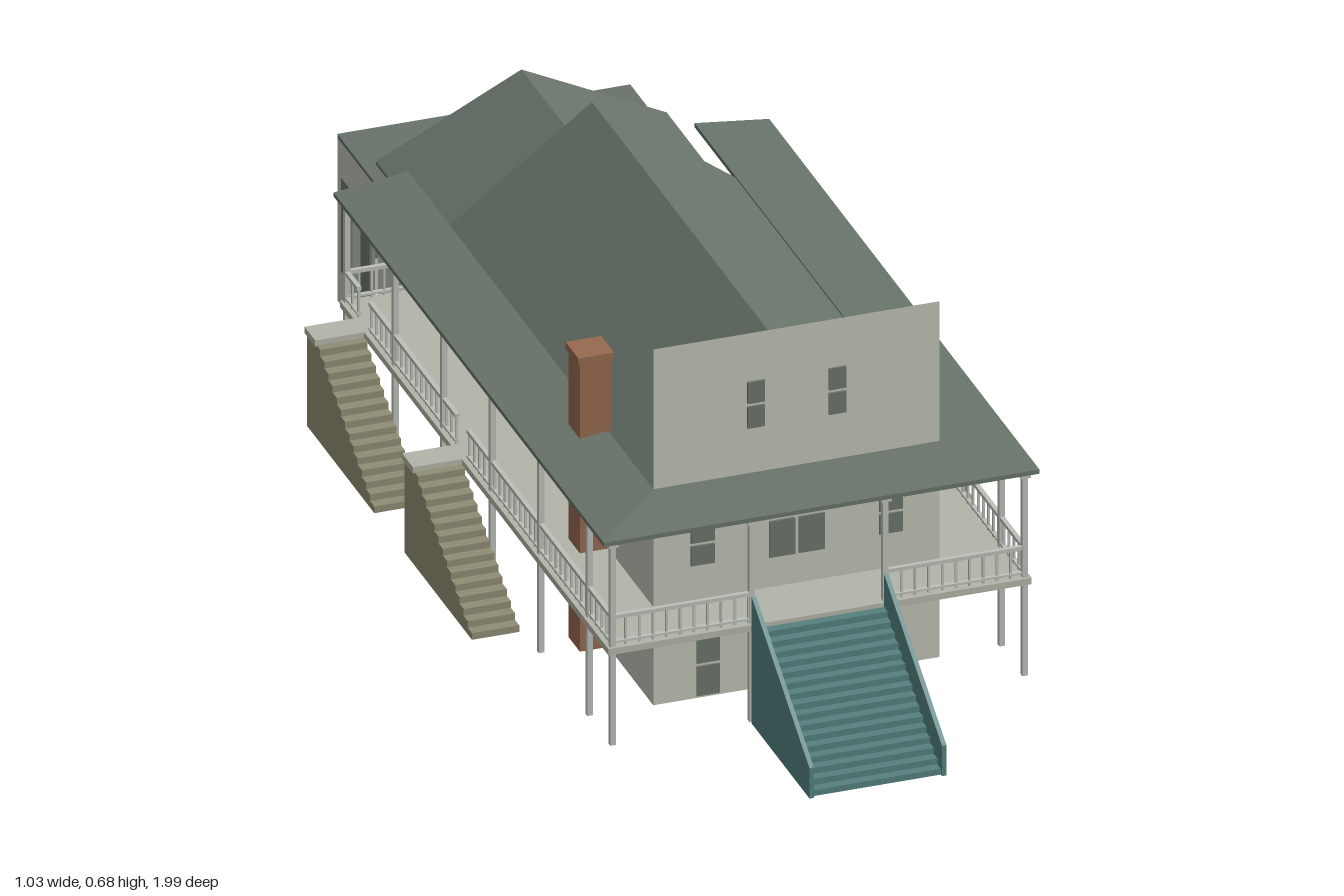
import * as THREE from 'three';

const paint = (name, color) => {
  const m = new THREE.MeshStandardMaterial({ color, side: THREE.DoubleSide });
  m.name = name;
  return m;
};

export function createModel() {
  const wall = paint('plaster wall', 0xbfc1b4), roof = paint('grey green roof', 0x68736a);
  const glass = paint('window glass', 0x6a756b), teal = paint('teal stair', 0x54807f);
  const khaki = paint('khaki stair', 0x8f8d74), brick = paint('chimney brick', 0x96694f);
  const trim = paint('pale trim', 0xbcc0b8), floor = paint('deck boards', 0xb4b5a9);

  const body = new THREE.Group();
  body.name = 'house';
  const add = (name, geo, mat) => {
    const m = new THREE.Mesh(geo, mat);
    m.name = name;
    body.add(m);
    return m;
  };
  // Box from its minimum and maximum corners
  const box = (name, mat, x0, y0, z0, x1, y1, z1) =>
    add(name, new THREE.BoxGeometry(Math.abs(x1 - x0), y1 - y0, Math.abs(z1 - z0)), mat)
      .position.set((x0 + x1) / 2, (y0 + y1) / 2, (z0 + z1) / 2);
  const outline = (pts) => new THREE.Shape(pts.map(([a, b]) => new THREE.Vector2(a, b)));
  // Flat panel facing z, drawn in x and y
  const panelZ = (name, mat, z, pts) => add(name, new THREE.ShapeGeometry(outline(pts)), mat).position.z = z;
  // Flat panel facing x, drawn in z and y
  const panelX = (name, mat, x, pts) =>
    add(name, new THREE.ShapeGeometry(outline(pts)).rotateY(-Math.PI / 2), mat).position.x = x;
  // Sloping slab: four top corners with a thickness below
  const slab = (name, mat, p, t = 0.01) => {
    const low = p.map(([x, y, z]) => [x, y - t, z]);
    const tris = [];
    const quad = (a, b, c, d) => tris.push(...a, ...b, ...c, ...a, ...c, ...d);
    quad(...p);
    quad(low[3], low[2], low[1], low[0]);
    for (let i = 0; i < 4; i++) {
      const j = (i + 1) % 4;
      quad(p[j], p[i], low[i], low[j]);
    }
    const g = new THREE.BufferGeometry();
    g.setAttribute('position', new THREE.Float32BufferAttribute(tris, 3));
    g.computeVertexNormals();
    add(name, g, mat);
  };

  const W = 0.257, FRONT = 0.582, MID = -0.435, BACK = -0.787, END = -0.973, EAVE = 0.41;

  // Walls: hollow shell with tall false front
  panelZ('false front', wall, FRONT, [[-W, 0], [W, 0], [W, 0.68], [-W, 0.68]]);
  panelZ('main back gable', wall, MID + 0.012, [[-W, 0.34], [W, 0.34], [W, EAVE - 0.005], [0, 0.593], [-W, EAVE - 0.005]]);
  panelZ('wing back gable', wall, BACK + 0.004, [[-W, 0], [W, 0], [W, 0.355], [0, 0.48], [-W, 0.355]]);
  const S = 0.263;
  panelZ('sunroom back wall', wall, END, [[-S, 0], [S, 0], [S, 0.312], [-S, 0.312]]);
  box('sunroom roof', roof, -S, 0.311, END - 0.001, S, 0.318, BACK);

  for (const s of [-1, 1]) {
    panelX('main side wall', wall, s * W, [[FRONT, 0], [MID, 0], [MID, EAVE], [FRONT, EAVE]]);
    panelX('wing side wall', wall, s * W, [[MID, 0], [BACK, 0], [BACK, 0.355], [MID, 0.355]]);
    panelX('sunroom side wall', wall, s * S, [[BACK, 0], [END, 0], [END, 0.312], [BACK, 0.312]]);
    // Corner order flips with the side so that the tops face up
    const roofSlab = (name, p, t) => slab(name, roof, s > 0 ? p : p.reverse(), t);
    roofSlab('main roof', [[0, 0.6, FRONT - 0.003], [s * W, EAVE, FRONT - 0.003], [s * W, EAVE, MID], [0, 0.6, MID]], 0.008);
    roofSlab('wing roof', [[0, 0.487, MID + 0.02], [s * 0.261, 0.358, MID + 0.02], [s * 0.261, 0.358, BACK], [0, 0.487, BACK]], 0.006);
    roofSlab('side porch roof', [[s * W, 0.413, FRONT], [s * 0.391, 0.397, 0.708], [s * 0.391, 0.397, -0.637], [s * W, 0.413, -0.637]], 0.008);
  }
  slab('front porch roof', roof, [[-W, 0.413, FRONT], [-0.391, 0.397, 0.708], [0.391, 0.397, 0.708], [W, 0.413, FRONT]], 0.008);

  // Chimney on the right wall
  box('chimney', brick, -0.308, 0, 0.302, -0.252, 0.553, 0.358);
  box('chimney cap', brick, -0.312, 0.55, 0.298, -0.248, 0.563, 0.362);

  // Windows: thin plates showing on both faces of the wall
  const frontWindow = (x, z, w, y0, y1) => box('window', glass, x - w / 2, y0, z - 0.004, x + w / 2, y1, z + 0.004);
  const sideWindow = (x, z, w, y0, y1) => box('window', glass, x - 0.004, y0, z - w / 2, x + 0.004, y1, z + w / 2);
  for (const s of [-1, 1]) {
    const sash = (x, w, y0, y1) => {
      const m = (y0 + y1) / 2;
      frontWindow(s * x, FRONT, w, y0, m - 0.003);
      frontWindow(s * x, FRONT, w, m + 0.003, y1);
    };
    sash(0.073, 0.031, 0.5, 0.588);
    sash(0.169, 0.042, 0.255, 0.335);
    sash(0.159, 0.041, 0.005, 0.123);
    frontWindow(s * 0.0265, FRONT, 0.046, 0.246, 0.315);

    const sideSash = (z, w, y0, y1) => {
      const m = (y0 + y1) / 2;
      sideWindow(s * W, z, w, y0, m - 0.003);
      sideWindow(s * W, z, w, m + 0.003, y1);
    };
    for (const z of [0.422, 0.193, -0.279]) {
      sideSash(z, 0.046, 0.262, 0.348);
      sideSash(z, 0.046, 0.055, 0.13);
    }
    sideWindow(s * W, -0.026, 0.048, 0.19, 0.322);
    sideWindow(s * W, -0.512, 0.056, 0.19, 0.325);
    sideSash(-0.68, 0.044, 0.23, 0.315);
    sideWindow(s * W, -0.68, 0.056, 0.055, 0.132);
    for (const z of [-0.825, -0.922]) sideWindow(s * S, z, 0.046, 0.07, 0.25);
    for (const x of [0.066, 0.197]) frontWindow(s * x, END, 0.058, 0.07, 0.25);
  }

  // Balcony deck around three sides
  box('front deck', floor, -0.38, 0.176, FRONT, 0.38, 0.188, 0.7);
  for (const s of [-1, 1]) box('side deck', floor, s * W, 0.176, -0.637, s * 0.38, 0.188, FRONT);

  // Posts with small capitals
  const P = 0.37, R = 0.69;
  const post = (x, z) => {
    box('porch post', trim, x - 0.005, 0, z - 0.005, x + 0.005, 0.392, z + 0.005);
    box('post capital', trim, x - 0.009, 0.379, z - 0.009, x + 0.009, 0.391, z + 0.009);
  };
  // Railing along x or z between two points
  const rail = (x0, z0, x1, z1) => {
    for (const [y, h] of [[0.24, 0.007], [0.194, 0.004]])
      box('rail', trim, Math.min(x0, x1) - 0.004, y, Math.min(z0, z1) - 0.004, Math.max(x0, x1) + 0.004, y + h, Math.max(z0, z1) + 0.004);
    const n = Math.max(1, Math.round(Math.hypot(x1 - x0, z1 - z0) / 0.025));
    for (let i = 0; i <= n; i++) {
      const x = x0 + (x1 - x0) * i / n, z = z0 + (z1 - z0) * i / n;
      box('baluster', trim, x - 0.002, 0.186, z - 0.002, x + 0.002, 0.242, z + 0.002);
    }
  };

  // Hollow flight of steps climbing toward -z
  const steps = (mat, x0, x1, zLow, zTop, h, n) => {
    const d = (zLow - zTop) / n, r = h / n, edge = [[zLow, 0]];
    for (let i = 0; i < n; i++) {
      const z = zLow - i * d, y = (i + 1) * r;
      box('riser', mat, x0, y - r, z - 0.002, x1, y, z);
      box('tread', mat, x0, y - 0.002, z - d, x1, y, z);
      edge.push([z, y], [z - d, y]);
    }
    return edge;
  };

  for (const s of [-1, 1]) {
    post(s * 0.12, R);
    post(s * P, R);
    for (let i = 0; i < 6; i++) post(s * P, 0.576 - i * 0.2415);
    rail(s * 0.125, R, s * P, R);
    rail(s * P, R, s * P, -0.02);
    rail(s * P, -0.085, s * P, -0.508);
    rail(s * P, -0.572, s * P, -0.63);
    rail(s * W, -0.632, s * P, -0.632);

    // Two side stairs with landings
    for (const z of [0.256, -0.23]) {
      const a = s * 0.38, b = s * 0.465, end = z - 0.336;
      const edge = steps(khaki, Math.min(a, b), Math.max(a, b), z, z - 0.29, 0.178, 14);
      edge.push([end, 0.178], [end, 0]);
      panelX('stair side', khaki, a, edge);
      panelX('stair side', khaki, b, edge);
      panelZ('stair back', khaki, end, [[a, 0], [b, 0], [b, 0.178], [a, 0.178]]);
      box('stair landing', floor, s * 0.376, 0.176, end - 0.003, s * 0.468, 0.188, z - 0.286);
    }

    // Solid parapet of the front stair
    const parapet = new THREE.ExtrudeGeometry(
      outline([[0.988, 0], [0.988, 0.058], [0.7, 0.242], [0.7, 0]]), { depth: 0.008, bevelEnabled: false });
    add('front stair parapet', parapet.rotateY(-Math.PI / 2), teal).position.x = s * 0.119 + 0.004;
  }
  steps(teal, -0.116, 0.116, 0.982, 0.7, 0.18, 16);

  // The house stands at a slight angle on its plot
  body.rotation.y = -0.122;
  body.position.set(-0.0248, 0, -0.003);
  const model = new THREE.Group();
  model.name = 'porchHouse';
  model.add(body);
  return model;
}
